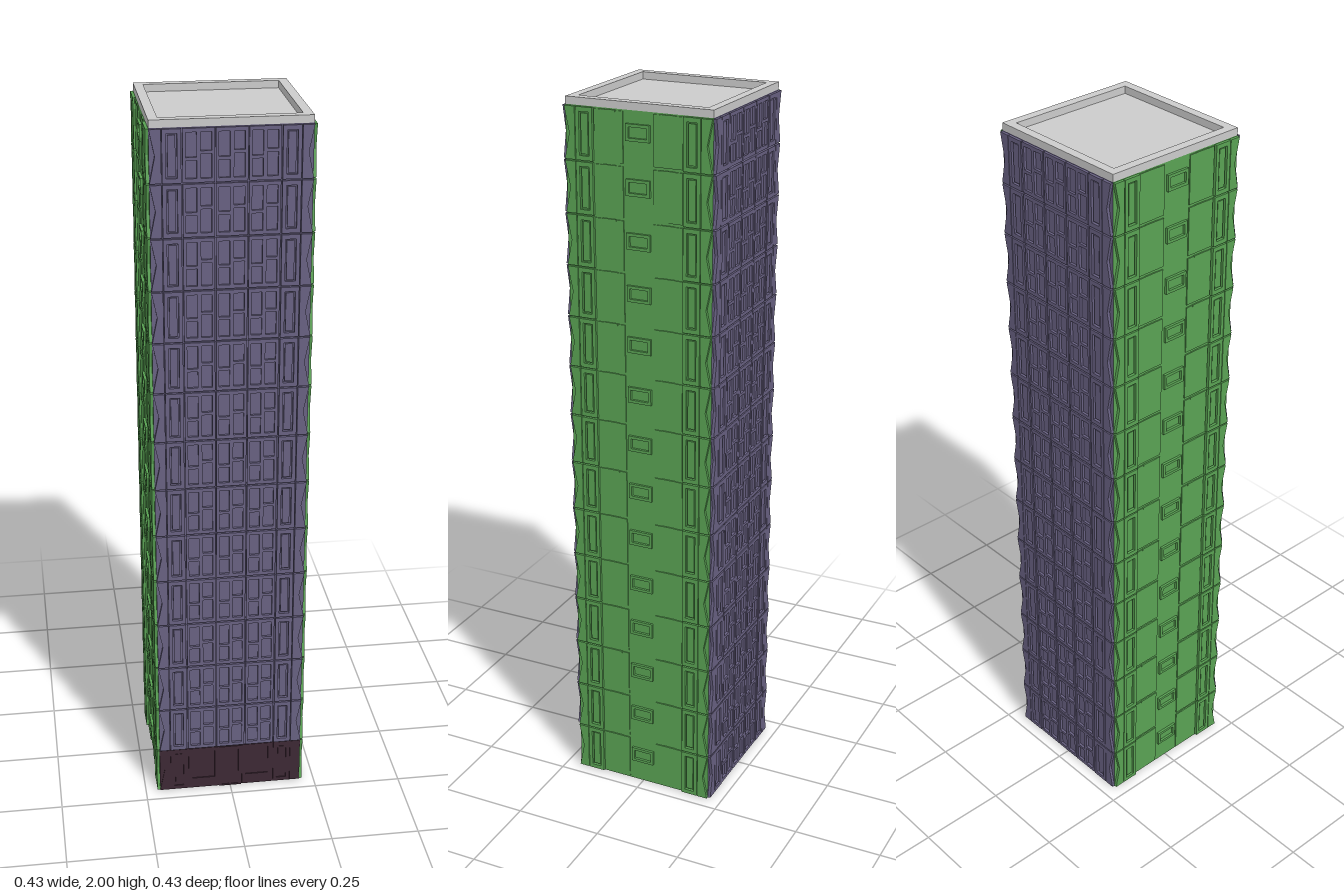
import * as THREE from 'three';

const FLOORS = 14, H = 1.98 / FLOORS, R = 0.208;
const paint = (color) => new THREE.MeshStandardMaterial({ color, flatShading: true, side: THREE.DoubleSide });

// Closed rectangle as a list of corners
const rect = (x0, y0, x1, y1) => [[x0, y0], [x1, y0], [x1, y1], [x0, y1]].map((p) => new THREE.Vector2(...p));

// Raised panel on the wall plane, with optional openings
function panel(outline, depth, holes = []) {
  const shape = new THREE.Shape(outline);
  holes.forEach((h) => shape.holes.push(new THREE.Path(h)));
  return new THREE.ExtrudeGeometry(shape, { depth, bevelEnabled: false });
}

function add(group, name, geometry, material) {
  const mesh = new THREE.Mesh(geometry, material);
  mesh.name = name;
  group.add(mesh);
  return mesh;
}

// Wall sheet behind the raised parts; the tower is hollow and open below
function wall(group, material) {
  add(group, 'wall', new THREE.PlaneGeometry(2 * R, H).translate(0, H / 2, 0), material);
}

// Corner strips with notched outer edges, and framed pilasters beside them
function edges(group, material, depth) {
  for (const s of [-1, 1]) {
    const strip = [[0.178, 0.002], [R, 0.002], [0.194, H / 2], [R, H - 0.002], [0.178, H - 0.002]]
      .map(([x, y]) => new THREE.Vector2(s * x, y));
    add(group, 'cornerStrip', panel(strip, depth), material);
    const c = s * 0.152;
    add(group, 'pilasterFrame', panel(rect(c - 0.024, 0.002, c + 0.024, H - 0.002), depth,
      [rect(c - 0.014, 0.014, c + 0.014, H - 0.014)]), material);
    add(group, 'pilasterPanel', panel(rect(c - 0.01, 0.018, c + 0.01, H - 0.018), depth * 0.6), material);
  }
}

// Typical storey of the front and back: three bays of staggered windows
function windowFloor(material) {
  const g = new THREE.Group();
  wall(g, material);
  edges(g, material, 0.008);
  for (const c of [-0.084, 0, 0.084]) {
    const holes = [];
    for (const s of [-1, 1]) {
      const x = c + s * 0.019, split = s < 0 ? 0.062 : 0.078;
      holes.push(rect(x - 0.014, 0.012, x + 0.014, split - 0.004));
      holes.push(rect(x - 0.014, split + 0.004, x + 0.014, H - 0.012));
    }
    add(g, 'windowBay', panel(rect(c - 0.0405, 0.002, c + 0.0405, H - 0.002), 0.007, holes), material);
  }
  return g;
}

// Side storey: pilasters, flat panels and one small framed window
function sideFloor(material) {
  const g = new THREE.Group();
  wall(g, material);
  edges(g, material, 0.008);
  for (const s of [-1, 1]) {
    const c = s * 0.084;
    add(g, 'sidePanel', panel(rect(c - 0.041, 0.004, c + 0.041, H - 0.004), 0.003), material);
    add(g, 'ledge', panel(rect(c - 0.02, H - 0.008, c + 0.02, H - 0.003), 0.004), material);
  }
  add(g, 'windowFrame', panel(rect(-0.034, 0.064, 0.034, 0.108), 0.007,
    [rect(-0.026, 0.072, 0.026, 0.1)]), material);
  return g;
}

// Entrance storey: door between two shop windows
function entranceFloor(material) {
  const g = new THREE.Group();
  wall(g, material);
  edges(g, material, 0.003);
  for (const s of [-1, 1]) {
    const c = s * 0.079;
    add(g, 'shopWindowFrame', panel(rect(c - 0.044, 0.002, c + 0.044, H - 0.002), 0.003,
      [rect(c - 0.033, 0.035, c + 0.033, H - 0.014)]), material);
  }
  add(g, 'doorFrame', panel(rect(-0.033, 0, 0.033, H - 0.004), 0.003,
    [rect(-0.024, 0.004, 0.024, H - 0.016)]), material);
  add(g, 'doorPost', panel(rect(-0.003, 0.004, 0.003, H - 0.016), 0.002), material);
  return g;
}

export function createModel() {
  const tower = new THREE.Group();
  tower.name = 'tower';
  const grey = paint(0xcccccc);
  const purple = windowFloor(paint(0x686182));
  const green = sideFloor(paint(0x59a253));
  const entrance = entranceFloor(paint(0x3d2834));

  // Four facades, each stacked storey by storey
  ['frontFacade', 'leftFacade', 'backFacade', 'rightFacade'].forEach((name, i) => {
    const facade = new THREE.Group();
    facade.name = name;
    facade.rotation.y = i * Math.PI / 2;
    for (let f = 0; f < FLOORS; f++) {
      const source = i % 2 ? green : i === 0 && f === 0 ? entrance : purple;
      const storey = source.clone();
      storey.name = 'storey';
      storey.position.set(0, f * H, R);
      facade.add(storey);
    }
    tower.add(facade);
  });

  // Roof deck with a raised parapet
  const deck = add(tower, 'roofDeck', new THREE.PlaneGeometry(2 * R, 2 * R), grey);
  deck.rotation.x = -Math.PI / 2;
  deck.position.y = 1.98;
  const parapet = add(tower, 'parapet', panel(rect(-R, -R, R, R), 0.02,
    [rect(-0.183, -0.183, 0.183, 0.183)]), grey);
  parapet.rotation.x = -Math.PI / 2;
  parapet.position.y = 1.98;
  return tower;
}
